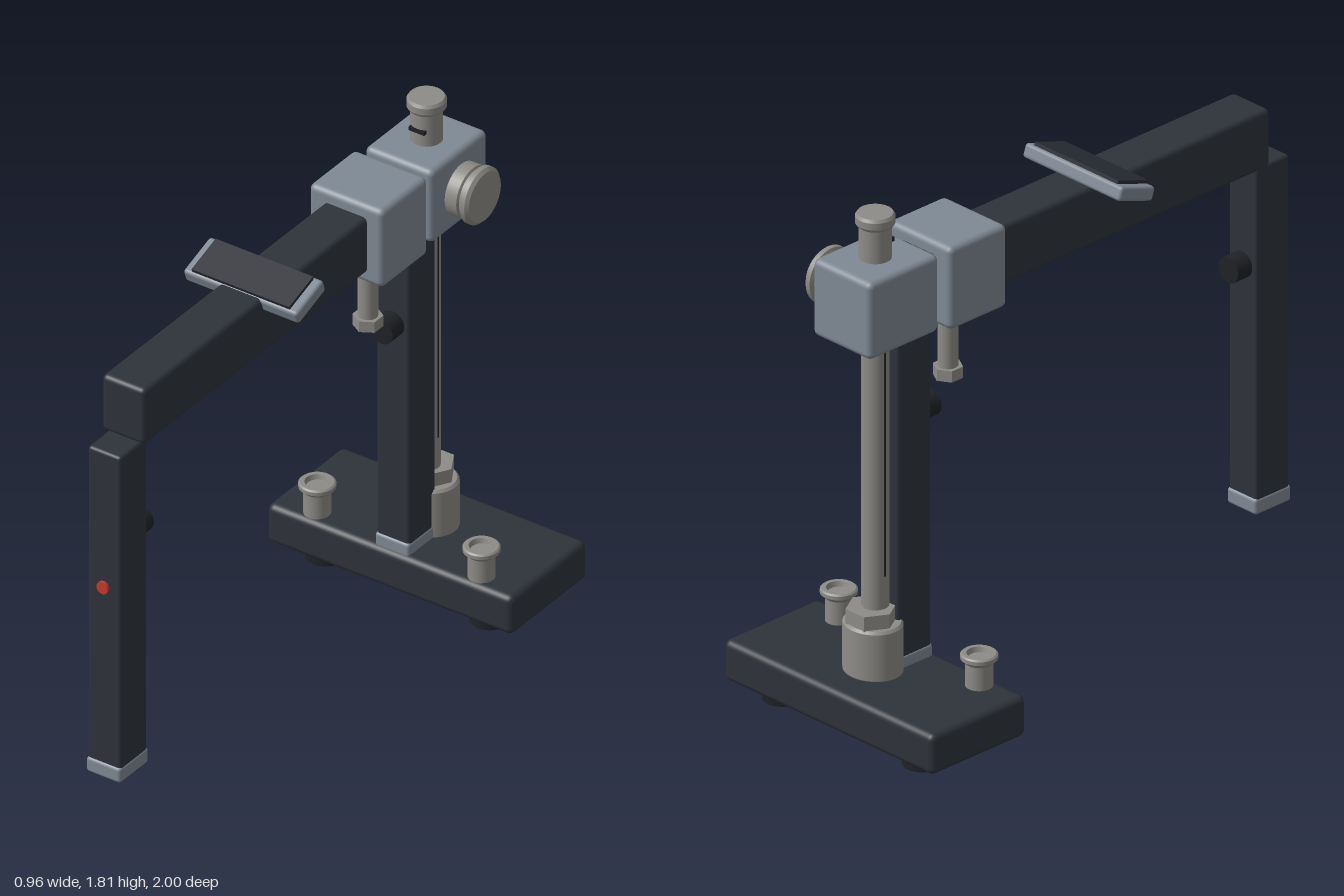
import * as THREE from 'three';
import { RoundedBoxGeometry } from 'three/addons/geometries/RoundedBoxGeometry.js';

const mat = (color, extra = {}) => new THREE.MeshStandardMaterial({ color, ...extra });
const dark = mat(0x2e333a);
const rubber = mat(0x1f2226);
const pad = mat(0x282b34);
const blueGrey = mat(0x7f8994);
const metal = mat(0x8e8c87, { side: THREE.DoubleSide });
const metalFlat = mat(0x8e8c87, { flatShading: true });
const red = mat(0xc23a2c);

export function createModel() {
  const model = new THREE.Group();

  const add = (name, geometry, material, x = 0, y = 0, z = 0, parent = model) => {
    const mesh = new THREE.Mesh(geometry, material);
    mesh.name = name;
    mesh.position.set(x, y, z);
    parent.add(mesh);
    return mesh;
  };
  // Rounded box given by its extents on x (half width), y and z
  const block = (name, material, hx, y0, y1, z0, z1, r = 0.015) =>
    add(name, new RoundedBoxGeometry(hx * 2, y1 - y0, z1 - z0, 3, r), material, 0, (y0 + y1) / 2, (z0 + z1) / 2);
  // Upright cylinder between two heights
  const post = (name, material, r, y0, y1, x, z, sides = 32) =>
    add(name, new THREE.CylinderGeometry(r, r, y1 - y0, sides), material, x, (y0 + y1) / 2, z);
  // Turned part; each corner is doubled so that edges stay crisp
  const turned = (points) => new THREE.LatheGeometry(
    points.flatMap(([r, y], i) => {
      const p = new THREE.Vector2(r, y);
      if (i === 0 || i === points.length - 1) return [p];
      const toward = ([a, b]) => p.clone().lerp(new THREE.Vector2(a, b), 0.03);
      return [toward(points[i - 1]), p, toward(points[i + 1])];
    }), 36);

  // Base with feet and thumb screws
  block('base', dark, 0.478, 0.045, 0.19, -1, -0.58, 0.024);
  const screw = turned([[0, 0], [0.045, 0], [0.045, 0.085], [0.061, 0.1], [0.061, 0.113],
    [0.055, 0.118], [0.041, 0.118], [0.036, 0.1], [0, 0.1]]);
  for (const s of [-1, 1]) {
    for (const z of [-0.68, -0.892]) post('foot', rubber, 0.063, 0, 0.055, s * 0.32, z);
    add('baseScrew', screw, metal, s * 0.32, 0.188, -0.638);
  }

  // Column: socket, hex nut, rod with groove, capped top
  const zc = -0.788;
  const socket = add('columnSocket', turned([[0, 0], [0.103, 0], [0.103, 0.168], [0.095, 0.177], [0, 0.177]]), metal, 0, 0.188, -0.798);
  socket.scale.z = 0.9;
  const nut = post('columnNut', metalFlat, 0.084, 0.36, 0.415, 0, -0.806, 6);
  nut.rotation.y = Math.PI / 2;
  post('column', metal, 0.045, 0.4, 1.45, 0, zc);
  for (const s of [-1, 1]) add('columnGroove', new THREE.BoxGeometry(0.003, 0.87, 0.008), rubber, s * 0.044, 0.965, zc);
  add('columnCap', turned([[0.053, 0], [0.053, 0.15], [0.06, 0.155], [0.065, 0.163], [0.065, 0.187], [0.058, 0.197], [0, 0.197]]),
    metal, 0, 1.618, zc);
  add('capSlot', new THREE.BoxGeometry(0.06, 0.014, 0.02), rubber, 0, 1.71, zc + 0.047);

  // Arm and the two clamp blocks
  block('arm', dark, 0.084, 1.41, 1.62, -0.7, 0.885, 0.018);
  block('frontClamp', blueGrey, 0.145, 1.37, 1.665, -0.595, -0.34, 0.022);
  block('rearClamp', blueGrey, 0.133, 1.38, 1.655, -0.94, -0.63, 0.022);

  // Clamp knob on the left side
  const knob = add('clampKnob', turned([[0, 0], [0.086, 0], [0.092, 0.006], [0.092, 0.05], [0.084, 0.055], [0.084, 0.062],
    [0.099, 0.068], [0.099, 0.086], [0.088, 0.097], [0, 0.097]]), metal, 0.13, 1.515, zc);
  knob.rotation.z = -Math.PI / 2;

  // Bolt below the front clamp
  post('clampBolt', metal, 0.033, 1.14, 1.39, 0, -0.465);
  post('clampBoltHead', metalFlat, 0.05, 1.115, 1.155, 0, -0.465, 6);

  // Front and rear legs with end caps and inward knobs
  for (const [name, z, inward] of [['front', 0.915, -1], ['rear', -0.675, 1]]) {
    block(name + 'Leg', dark, 0.064, 0.22, 1.412, z - 0.074, z + 0.074, 0.012);
    block(name + 'LegCap', blueGrey, 0.067, 0.175, 0.232, z - 0.08, z + 0.08, 0.012);
    const legKnob = post(name + 'LegKnob', rubber, 0.045, 0, 0.075, 0, 0);
    legKnob.rotation.x = Math.PI / 2;
    legKnob.position.set(0, 1.05, z + inward * 0.1);
  }
  const button = post('redButton', red, 0.022, 0, 0.02, 0, 0, 24);
  button.rotation.x = Math.PI / 2;
  button.position.set(0, 0.9, 0.99);

  // Tilted display plate on the arm
  const display = new THREE.Group();
  display.name = 'display';
  display.position.set(0, 1.621, 0.16);
  display.rotation.x = 0.33;
  model.add(display);
  add('displayPlate', new RoundedBoxGeometry(0.444, 0.05, 0.16, 3, 0.012), blueGrey, 0, 0, 0, display);
  add('displayPad', new THREE.BoxGeometry(0.38, 0.016, 0.14), pad, 0, 0.029, 0, display);

  return model;
}
